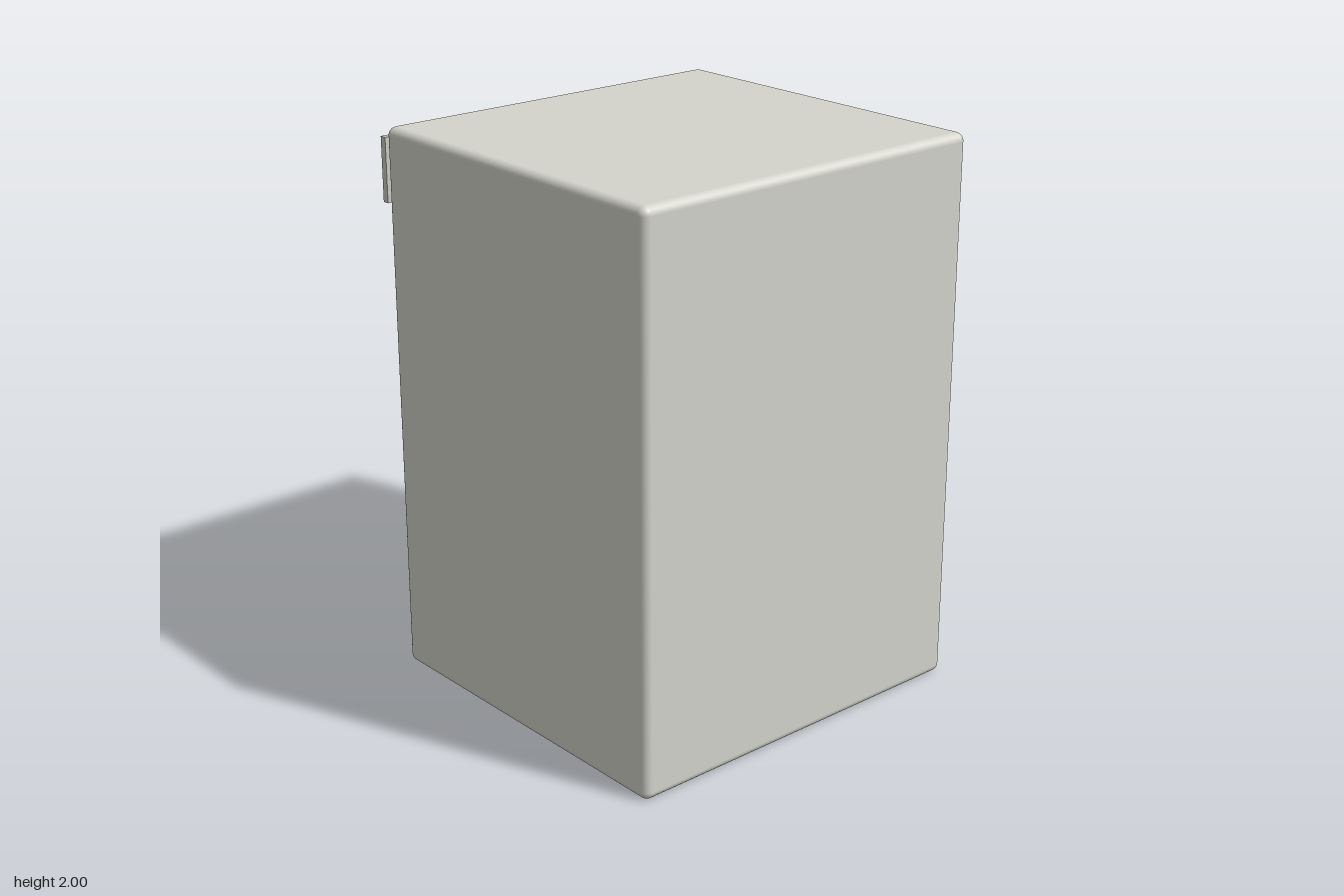
import * as THREE from 'three';
import { RoundedBoxGeometry } from 'three/addons/geometries/RoundedBoxGeometry.js';

export function createModel() {
  const paint = (name, color) => {
    const m = new THREE.MeshStandardMaterial({ color });
    m.name = name;
    return m;
  };
  const enamel = paint('warm grey enamel', 0xd4d4cc);
  const trim = paint('panel grey', 0xccccc4);
  const dark = paint('dark plastic', 0x505458);
  const glass = paint('pale blue glass', 0xb0c8d2);

  const model = new THREE.Group();
  model.name = 'washingMachine';
  const add = (name, geometry, material, x, y, z) => {
    const mesh = new THREE.Mesh(geometry, material);
    mesh.name = name;
    mesh.position.set(x, y, z);
    model.add(mesh);
    return mesh;
  };
  // Round parts lie along z
  const disc = (r, depth, sides) => new THREE.CylinderGeometry(r, r, depth, sides).rotateX(Math.PI / 2);

  // Cabinet with softened edges
  add('cabinet', new RoundedBoxGeometry(1.41, 2, 1.335, 4, 0.03), enamel, 0, 1, 0.0475);

  // Control panel and its dial, on the door side
  add('controlPanel', new THREE.BoxGeometry(1.36, 0.23, 0.026), trim, 0, 1.835, -0.672);
  add('dial', disc(0.058, 0.034, 32), dark, 0.467, 1.84, -0.7);

  // Door ring: a square-section lathe, with the glass set just inside its face
  const section = [[0.37, -0.035], [0.47, -0.035], [0.47, 0.035], [0.37, 0.035], [0.37, -0.035]];
  const ring = new THREE.LatheGeometry(section.map(([r, h]) => new THREE.Vector2(r, h)), 48)
    .rotateX(Math.PI / 2).toNonIndexed();
  ring.computeVertexNormals();
  add('doorRing', ring, dark, 0, 0.99, -0.681);
  add('doorGlass', disc(0.372, 0.04, 48), glass, 0, 0.99, -0.682);

  return model;
}
